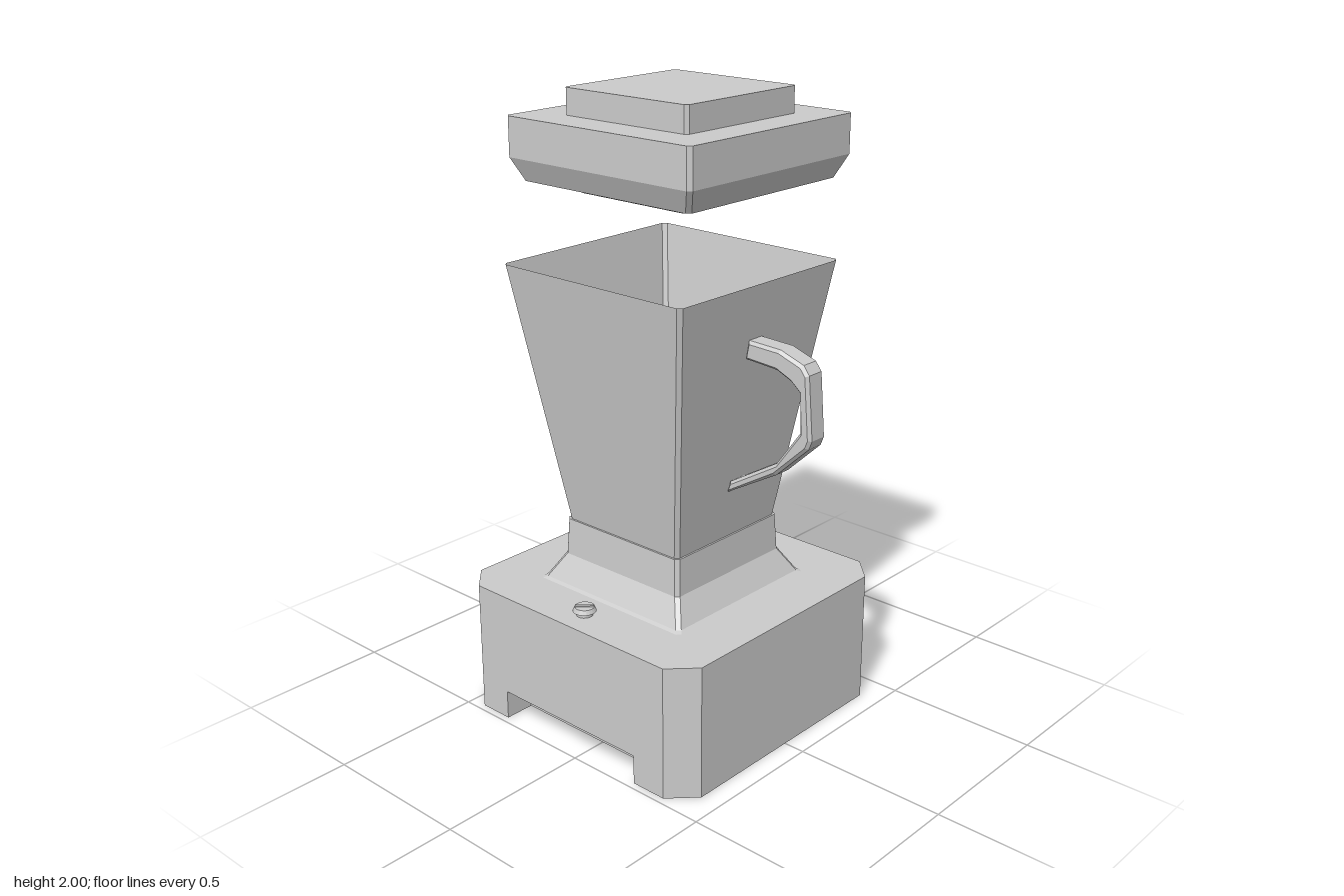
import * as THREE from 'three';

const CX = -0.0475; // axis shared by base, pedestal and jar

function material(side = THREE.FrontSide) {
  return new THREE.MeshStandardMaterial({ color: 0xcccccc, flatShading: true, side });
}

function add(group, name, geometry, x = 0, y = 0, z = 0, side) {
  const mesh = new THREE.Mesh(geometry, material(side));
  mesh.name = name;
  mesh.position.set(x, y, z);
  group.add(mesh);
  return mesh;
}

// Square outline with cut corners, running from +x towards +z
function cutSquare(h, c) {
  const k = h - c;
  return [[h, -k], [h, k], [k, h], [-k, h], [-h, k], [-h, -k], [-k, -h], [k, -h]];
}

// Stack of cut squares given as [half width, height], bottom to top
function squareLoft(profile, cut, capBottom = true, capTop = true) {
  const rings = profile.map(([h, y]) => cutSquare(h, cut).map(([x, z]) => [x, y, z]));
  const pos = [];
  const tri = (a, b, c) => pos.push(...a, ...b, ...c);
  for (let i = 0; i < rings.length - 1; i++) {
    for (let k = 0; k < 8; k++) {
      const n = (k + 1) % 8;
      const [lo, hi] = [rings[i], rings[i + 1]];
      tri(lo[k], hi[k], lo[n]);
      tri(lo[n], hi[k], hi[n]);
    }
  }
  const first = rings[0], last = rings[rings.length - 1];
  for (let k = 1; k < 7; k++) {
    if (capBottom) tri(first[0], first[k], first[k + 1]);
    if (capTop) tri(last[0], last[k + 1], last[k]);
  }
  const geometry = new THREE.BufferGeometry();
  geometry.setAttribute('position', new THREE.Float32BufferAttribute(pos, 3));
  geometry.computeVertexNormals();
  return geometry;
}

function shapeOf(points) {
  return new THREE.Shape(points.map(([x, y]) => new THREE.Vector2(x, y)));
}

export function createModel() {
  const model = new THREE.Group();

  // Motor base: octagonal block above a foot with a front recess
  const base = new THREE.Group();
  base.name = 'base';
  model.add(base);
  add(base, 'baseBody', squareLoft([[0.4775, 0.095], [0.4775, 0.435]], 0.08), CX);
  const outline = cutSquare(0.4775, 0.08).map(([x, z]) => [x + CX, z]);
  outline.splice(3, 0, [0.23, 0.4775], [0.23, 0.378], [-0.33, 0.378], [-0.33, 0.4775]);
  const foot = new THREE.ExtrudeGeometry(shapeOf(outline.map(([x, z]) => [x, -z])),
    { depth: 0.095, bevelEnabled: false });
  foot.rotateX(-Math.PI / 2);
  add(base, 'baseFoot', foot);

  // Flared pedestal that holds the jar
  add(model, 'pedestal', squareLoft([[0.3, 0.435], [0.289, 0.441], [0.243, 0.52], [0.237, 0.64]], 0.012), CX);

  // Open tapered jar
  add(model, 'jar', squareLoft([[0.231, 0.64], [0.357, 1.473]], 0.012, true, false), CX, 0, 0, THREE.DoubleSide);

  // Handle: side outline given thickness with bevelled edges
  const handleShape = shapeOf([
    [0.209, 0.804], [0.394, 0.91], [0.51, 1.02], [0.521, 1.048], [0.505, 1.243], [0.484, 1.27],
    [0.4, 1.298], [0.283, 1.302], [0.272, 1.243], [0.389, 1.235], [0.442, 1.212], [0.474, 1.185],
    [0.479, 1.063], [0.394, 0.947], [0.218, 0.841],
  ]);
  const handle = new THREE.ExtrudeGeometry(handleShape, {
    depth: 0.056, bevelEnabled: true, bevelSegments: 1,
    bevelThickness: 0.01, bevelSize: 0.009, bevelOffset: -0.009,
  });
  add(model, 'handle', handle, 0, 0, -0.028);

  // Control knob with a diagonal grip bar
  const knob = new THREE.Group();
  knob.name = 'knob';
  knob.position.set(-0.055, 0.435, 0.39);
  model.add(knob);
  add(knob, 'knobStem', new THREE.CylinderGeometry(0.026, 0.026, 0.016, 20), 0, 0.008, 0);
  add(knob, 'knobCap', new THREE.CylinderGeometry(0.031, 0.037, 0.014, 20), 0, 0.021, 0);
  add(knob, 'knobGrip', new THREE.BoxGeometry(0.058, 0.006, 0.012), 0, 0.029, 0).rotation.y = Math.PI / 4;

  // Lid floating above the jar: plug, chamfered rim and raised top
  const lid = new THREE.Group();
  lid.name = 'lid';
  lid.position.x = -0.0125;
  model.add(lid);
  add(lid, 'lidPlug', squareLoft([[0.207, 1.692], [0.268, 1.73]], 0.012));
  add(lid, 'lidRim', squareLoft([[0.325, 1.73], [0.357, 1.8], [0.357, 1.92]], 0.012));
  add(lid, 'lidTop', squareLoft([[0.238, 1.92], [0.238, 2]], 0.01), 0.002);

  return model;
}
